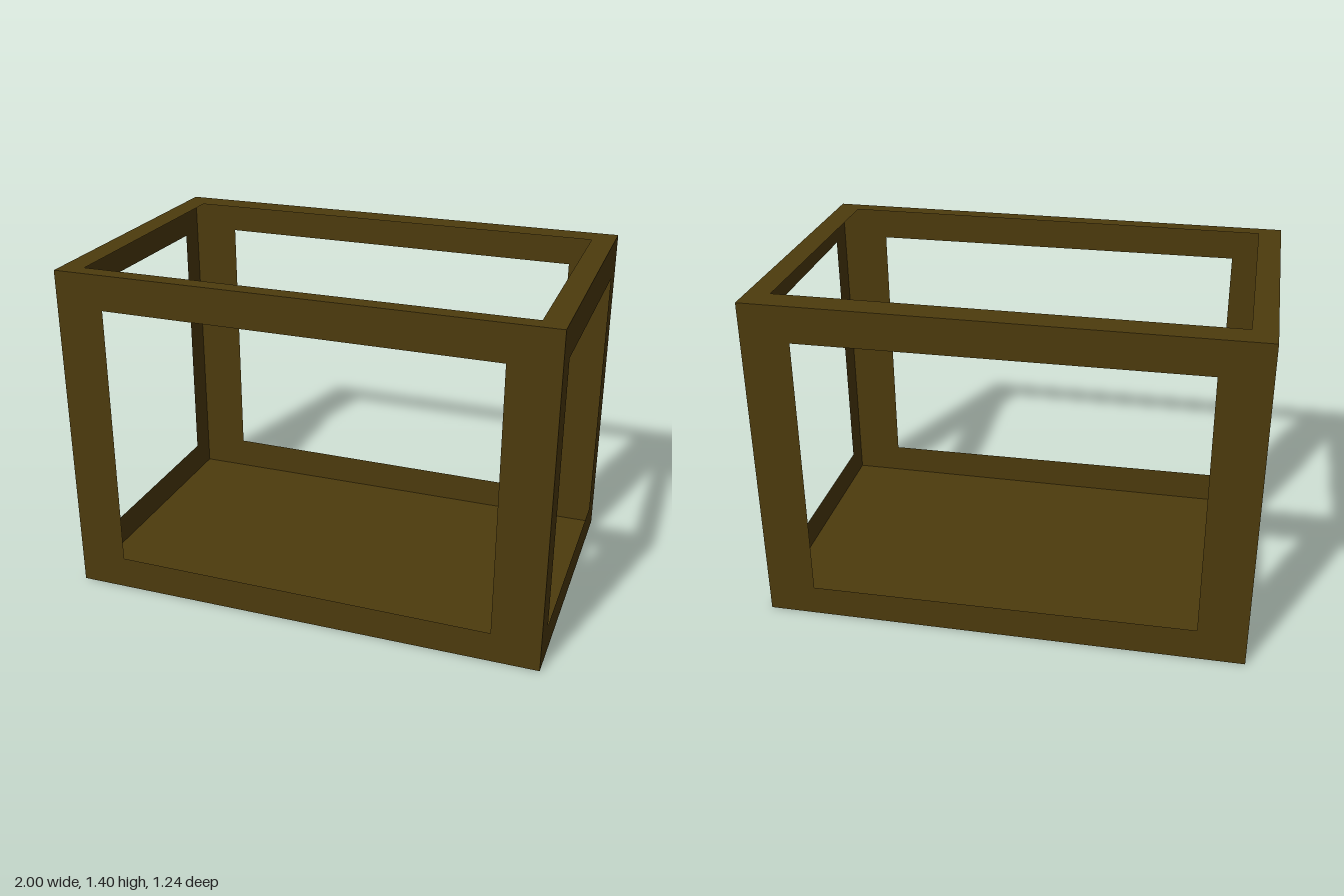
import * as THREE from 'three';

const W = 2, H = 1.4, D = 1.24;
const material = new THREE.MeshStandardMaterial({ color: 0x4d3b0d, side: THREE.DoubleSide, flatShading: true });

const rect = (x0, y0, x1, y1) => [[x0, y0], [x1, y0], [x1, y1], [x0, y1]];
const toPoints = (corners) => corners.map(([x, y]) => new THREE.Vector2(x, y));

// Thin sheet in the xy plane with an optional four-cornered opening
function panel(name, outline, opening) {
  const shape = new THREE.Shape(toPoints(outline));
  if (opening) shape.holes.push(new THREE.Path(toPoints(opening)));
  const mesh = new THREE.Mesh(new THREE.ShapeGeometry(shape), material);
  mesh.name = name;
  return mesh;
}

export function createModel() {
  const model = new THREE.Group();
  model.name = 'openBoxFrame';

  // Front and back: slightly uneven hand-cut windows
  const wall = rect(-W / 2, 0, W / 2, H);
  const longWindow = [[-0.8, 0.138], [0.8, 0.128], [0.8, 1.25], [-0.8, 1.255]];
  const front = panel('frontPanel', wall, longWindow);
  front.position.z = D / 2;
  const back = panel('backPanel', wall, longWindow.map(([x, y]) => [-x, y]));
  back.rotation.y = Math.PI;
  back.position.z = -D / 2;
  model.add(front, back);

  // Ends: window corners given as (z, y)
  const endWindow = [[0.5, 0.13], [-0.49, 0.135], [-0.5, 1.24], [0.5, 1.252]];
  for (const side of [1, -1]) {
    const end = panel(side > 0 ? 'leftPanel' : 'rightPanel',
      rect(-D / 2, 0, D / 2, H), endWindow.map(([z, y]) => [-side * z, y]));
    end.rotation.y = side * Math.PI / 2;
    end.position.x = side * W / 2;
    model.add(end);
  }

  // Top rim with a large opening, and a solid floor
  const base = rect(-W / 2, -D / 2, W / 2, D / 2);
  const top = panel('topRim', base, rect(-0.905, -0.552, 0.905, 0.508));
  top.rotation.x = -Math.PI / 2;
  top.position.y = H;
  const floor = panel('floor', base);
  floor.rotation.x = Math.PI / 2;
  model.add(top, floor);

  return model;
}
